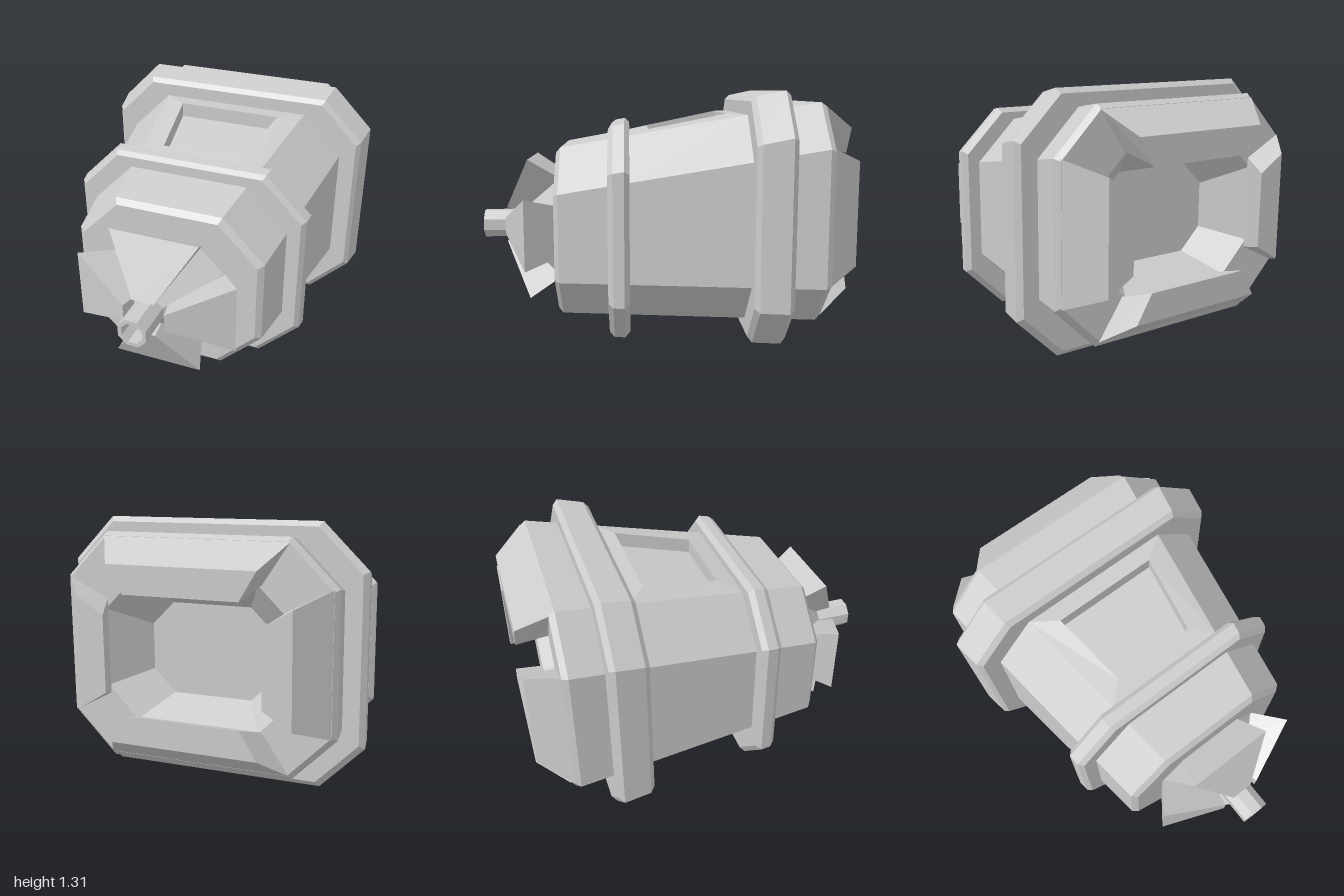
import * as THREE from 'three';
import { ConvexGeometry } from 'three/addons/geometries/ConvexGeometry.js';

const material = new THREE.MeshStandardMaterial({ color: 0xcccccc, flatShading: true });
const AXIS_Y = 0.555;

// Chamfered rectangle at depth z, counter-clockwise from the front; edge 1 (points 2-3) is the top
function octagon(z, w, y0, y1, c = 0.225) {
  return [
    [w, y0 + c], [w, y1 - c], [w - c, y1], [c - w, y1],
    [-w, y1 - c], [-w, y0 + c], [c - w, y0], [w - c, y0],
  ].map(([x, y]) => new THREE.Vector3(x, y, z));
}

// Octagon centred on the nozzle axis
const axial = (z, w, h, c) => octagon(z, w, AXIS_Y - h, AXIS_Y + h, c);

function meshFrom(points, name) {
  const geometry = new THREE.BufferGeometry().setFromPoints(points);
  geometry.computeVertexNormals();
  const mesh = new THREE.Mesh(geometry, material);
  mesh.name = name;
  return mesh;
}

// Skin through rings running from front to back, capped at both ends
function loft(rings, name, skip = () => false) {
  const pts = [];
  const n = rings[0].length;
  for (let r = 0; r < rings.length - 1; r++) {
    for (let i = 0; i < n; i++) {
      if (skip(r, i)) continue;
      const j = (i + 1) % n;
      const a = rings[r], b = rings[r + 1];
      pts.push(a[i], b[i], b[j], a[i], b[j], a[j]);
    }
  }
  const first = rings[0], last = rings[rings.length - 1];
  for (let i = 1; i < n - 1; i++) {
    pts.push(first[0], first[i], first[i + 1]);
    pts.push(last[0], last[i + 1], last[i]);
  }
  return meshFrom(pts, name);
}

// Solid from stations [z, radius, half width], turned to one of four sides
function wedge(stations, side, name) {
  const pts = [];
  for (const [z, r, hw] of stations) {
    for (const s of [-1, 1]) {
      pts.push(new THREE.Vector3(s * hw, r, z));
    }
  }
  const mesh = new THREE.Mesh(new ConvexGeometry(pts), material);
  mesh.name = name;
  mesh.rotation.z = side * Math.PI / 2;
  return mesh;
}

export function createModel() {
  const model = new THREE.Group();

  // Tapered body: width and roof height grow evenly towards the back
  const bodyRing = (z) => {
    const t = (0.54 - z) / 1.35;
    return octagon(z, 0.515 + 0.185 * t, 0.1, 1.01 + 0.24 * t);
  };
  const panelFront = bodyRing(0.17), panelBack = bodyRing(-0.44);
  model.add(loft([
    octagon(0.565, 0.485, 0.127, 0.98, 0.21),
    bodyRing(0.54), panelFront, panelBack, bodyRing(-0.81),
    octagon(-0.84, 0.68, 0.13, 1.23, 0.215),
    // rear funnel
    octagon(-0.84, 0.48, 0.32, 1.03, 0.16),
    octagon(-0.6, 0.3, 0.43, 0.86, 0.11),
  ], 'body', (r, i) => r === 2 && i === 2));

  // Sunken panel in the roof: raised rim, upright walls, floor
  const outer = [panelFront[3], panelFront[2], panelBack[2], panelBack[3]];
  const rectangle = (drop) => [
    [-0.23, 1.103, 0.07], [0.23, 1.103, 0.07], [0.29, 1.187, -0.345], [-0.29, 1.187, -0.345],
  ].map(([x, y, z]) => new THREE.Vector3(x, y - drop, z));
  const levels = [outer, rectangle(0), rectangle(0.08)];
  const panel = [];
  for (let l = 0; l < 2; l++) {
    for (let i = 0; i < 4; i++) {
      const j = (i + 1) % 4;
      const a = levels[l], b = levels[l + 1];
      panel.push(a[i], a[j], b[j], a[i], b[j], b[i]);
    }
  }
  const f = levels[2];
  panel.push(f[0], f[1], f[2], f[0], f[2], f[3]);
  model.add(meshFrom(panel, 'roofPanel'));

  // Two chamfered bands around the body
  model.add(loft([
    octagon(0.283, 0.622, 0.028, 1.11, 0.215),
    octagon(0.257, 0.645, 0, 1.13),
    octagon(0.2, 0.653, 0, 1.14),
    octagon(0.173, 0.63, 0.028, 1.115, 0.215),
  ], 'frontBand'));
  model.add(loft([
    octagon(-0.44, 0.74, 0.03, 1.255, 0.215),
    octagon(-0.465, 0.763, 0, 1.28),
    octagon(-0.61, 0.786, 0, 1.31),
    octagon(-0.637, 0.76, 0.03, 1.285, 0.215),
  ], 'rearBand'));

  // Front cone and hollow nozzle
  model.add(loft([axial(0.8, 0.075, 0.075, 0.044), axial(0.56, 0.315, 0.275, 0.13)], 'frontCone'));
  model.add(loft([
    axial(0.9, 0.055, 0.055, 0.032),
    axial(1, 0.055, 0.055, 0.032),
    axial(1, 0.075, 0.075, 0.044),
    axial(0.75, 0.075, 0.075, 0.044),
  ], 'nozzle'));

  // Four vanes around the nozzle and four flaps around the funnel
  const vanes = new THREE.Group();
  vanes.name = 'frontVanes';
  vanes.position.y = AXIS_Y;
  const flaps = new THREE.Group();
  flaps.name = 'rearFlaps';
  flaps.position.y = 0.68;
  for (let side = 0; side < 4; side++) {
    const upright = side % 2 === 0;
    vanes.add(wedge(upright
      ? [[0.87, 0.097, 0.06], [0.725, 0.385, 0.24], [0.56, 0.28, 0.19], [0.57, 0.05, 0.04]]
      : [[0.87, 0.112, 0.047], [0.725, 0.435, 0.192], [0.56, 0.315, 0.14], [0.57, 0.05, 0.03]],
    side, 'vane'));
    flaps.add(wedge(upright
      ? [[-0.838, 0.55, 0.475], [-1, 0.435, 0.375], [-1, 0.295, 0.29], [-0.838, 0.35, 0.34]]
      : [[-0.838, 0.68, 0.345], [-1, 0.54, 0.275], [-1, 0.4, 0.19], [-0.838, 0.47, 0.24]],
    side, 'flap'));
  }
  model.add(vanes, flaps);
  return model;
}
